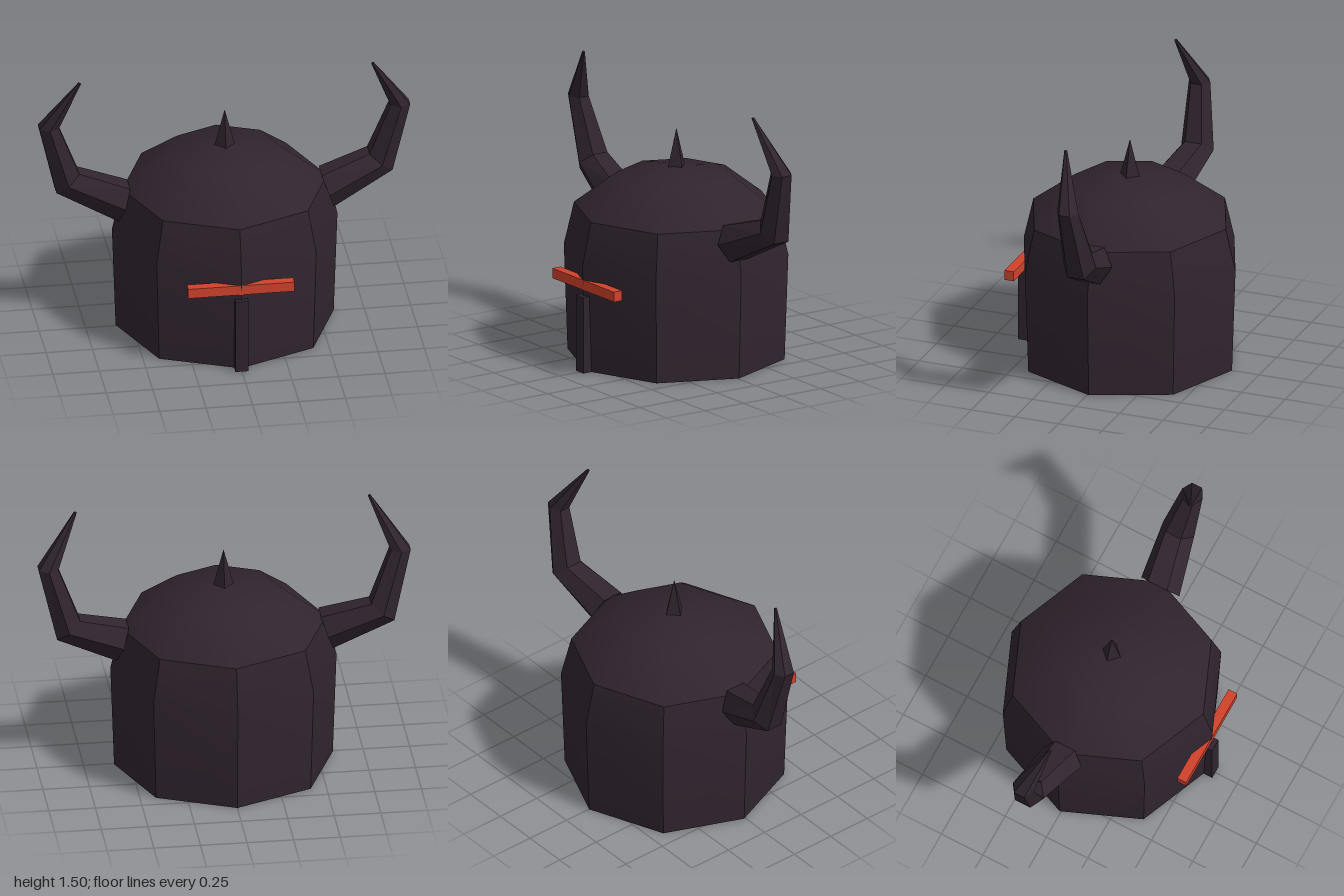
import * as THREE from 'three';
import { toCreasedNormals } from 'three/addons/utils/BufferGeometryUtils.js';

const iron = new THREE.MeshStandardMaterial({ color: 0x30242f, side: THREE.DoubleSide });
iron.name = 'dark iron';
const red = new THREE.MeshStandardMaterial({ color: 0xd0422c });
red.name = 'red slit';

function part(group, name, geometry, material, x = 0, y = 0, z = 0) {
  const mesh = new THREE.Mesh(geometry, material);
  mesh.name = name;
  mesh.position.set(x, y, z);
  group.add(mesh);
  return mesh;
}

// Horn sections from root to tip: centre, in-plane direction to the outer side, radius
const HORN = [
  { c: [0.548, 0.745, -0.012], u: [0.065, -0.19], r: 0.115 },
  { c: [0.843, 0.867, -0.06], u: [0.125, -0.105], r: 0.093 },
  { c: [0.945, 1.21, -0.032], u: [1, 0], r: 0.061 },
  { c: [0.788, 1.497, 0.043], u: [1, 0.5], r: 0.008 },
];

// Six-sided horn lofted through the sections; side is +1 (left) or -1 (right)
function hornGeometry(side) {
  const N = 6, pos = [], index = [];
  const tri = (a, b, c) => (side > 0 ? index.push(a, b, c) : index.push(a, c, b));
  for (const { c, u, r } of HORN) {
    const len = Math.hypot(u[0], u[1]);
    for (let k = 0; k < N; k++) {
      const a = (k / N) * Math.PI * 2, s = (r * Math.sin(a)) / len;
      pos.push(side * (c[0] + u[0] * s), c[1] + u[1] * s, c[2] + r * Math.cos(a));
    }
  }
  const last = (HORN.length - 1) * N;
  for (let i = 0; i < last; i += N) {
    for (let k = 0; k < N; k++) {
      const n = (k + 1) % N;
      tri(i + k, i + n, i + N + n);
      tri(i + k, i + N + n, i + N + k);
    }
  }
  // End caps
  for (let k = 1; k < N - 1; k++) {
    tri(0, k + 1, k);
    tri(last, last + k, last + k + 1);
  }
  const g = new THREE.BufferGeometry();
  g.setAttribute('position', new THREE.Float32BufferAttribute(pos, 3));
  g.setIndex(index);
  const flat = g.toNonIndexed();
  flat.computeVertexNormals();
  return flat;
}

export function createModel() {
  const model = new THREE.Group();
  model.name = 'hornedHelmet';

  // Open eight-sided shell with a corner at the front
  const profile = [[0.587, 0], [0.607, 0.58], [0.552, 0.815], [0.315, 0.995], [0, 1.052]]
    .map(([r, y]) => new THREE.Vector2(r, y));
  const shell = toCreasedNormals(new THREE.LatheGeometry(profile, 8), 0.65);
  part(model, 'shell', shell, iron, 0, 0, -0.008);

  // Eye slit and nose guard
  part(model, 'eyeSlit', new THREE.BoxGeometry(0.572, 0.055, 0.053), red, 0, 0.4775, 0.5685);
  part(model, 'noseGuard', new THREE.BoxGeometry(0.07, 0.42, 0.072), iron, 0, 0.21, 0.581);

  // Crown spike
  const spike = new THREE.ConeGeometry(0.06, 0.23, 4).toNonIndexed();
  spike.computeVertexNormals();
  part(model, 'crownSpike', spike, iron, 0, 1.135, -0.01);

  // Horns
  part(model, 'leftHorn', hornGeometry(1), iron);
  part(model, 'rightHorn', hornGeometry(-1), iron);
  return model;
}
